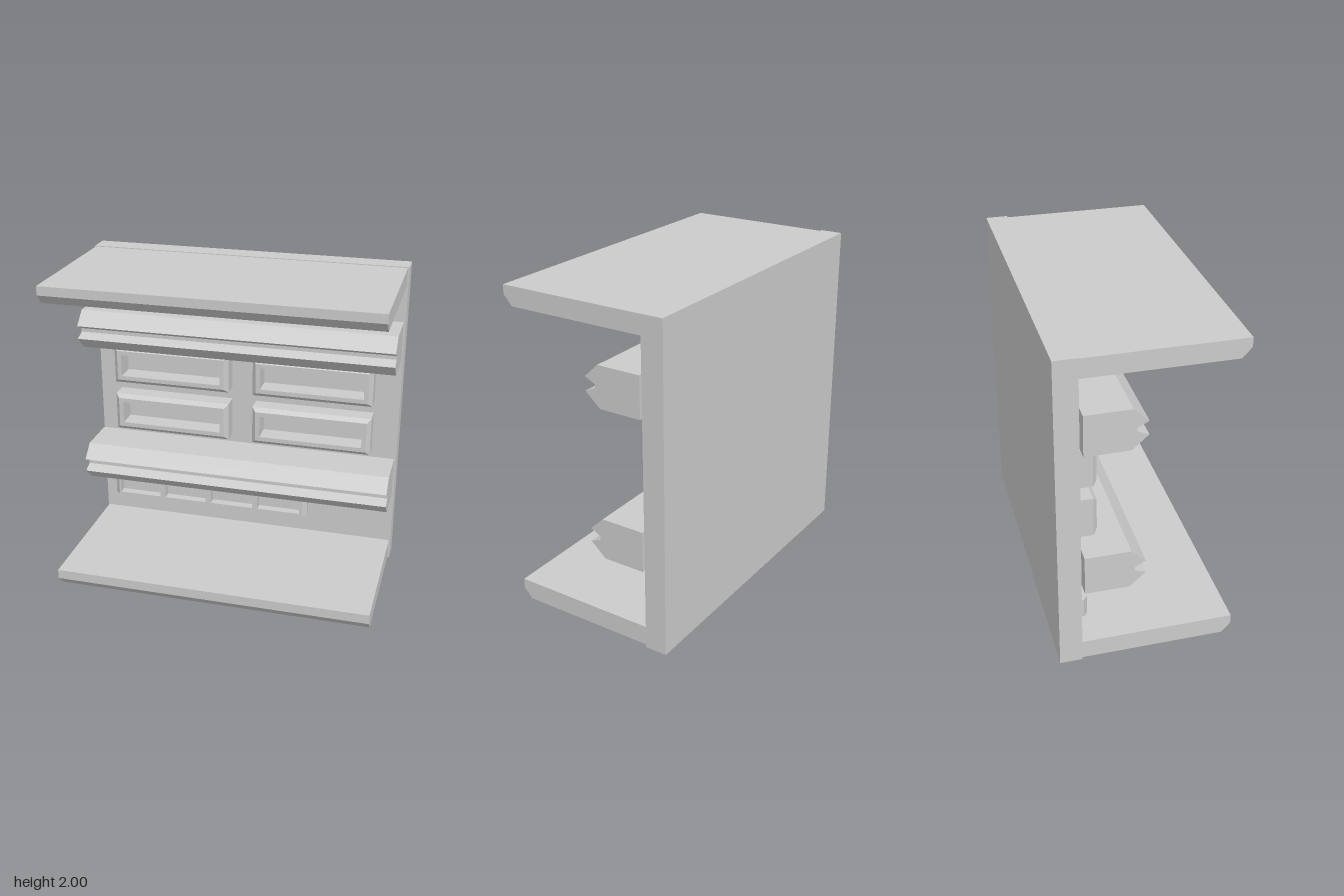
import * as THREE from 'three';

const material = new THREE.MeshStandardMaterial({ color: 0xcccccc, flatShading: true });
const WALL = -0.39; // front plane of the back panel

function add(group, name, geometry) {
  const mesh = new THREE.Mesh(geometry, material);
  mesh.name = name;
  group.add(mesh);
  return mesh;
}

function box(x0, x1, y0, y1, z0, z1) {
  return new THREE.BoxGeometry(x1 - x0, y1 - y0, z1 - z0)
    .translate((x0 + x1) / 2, (y0 + y1) / 2, (z0 + z1) / 2);
}

const toShape = (pts) => new THREE.Shape(pts.map(([a, b]) => new THREE.Vector2(a, b)));
const rect = (x0, x1, y0, y1) => [[x0, y0], [x1, y0], [x1, y1], [x0, y1]];

// Extrudes a (z, y) side profile along x
function alongX(profile, x0, x1) {
  return new THREE.ExtrudeGeometry(toShape(profile), { depth: x1 - x0, bevelEnabled: false })
    .rotateY(-Math.PI / 2).translate(x1, 0, 0);
}

// Joins successive rectangular loops [x0, x1, y0, y1, z] with flat quads
function loftRects(loops) {
  const rings = loops.map(([x0, x1, y0, y1, z]) => rect(x0, x1, y0, y1).map(([x, y]) => [x, y, z]));
  const pos = [];
  for (let i = 0; i < rings.length - 1; i++) {
    for (let j = 0; j < 4; j++) {
      const k = (j + 1) % 4;
      const a = rings[i][j], b = rings[i][k], c = rings[i + 1][k], d = rings[i + 1][j];
      pos.push(...a, ...b, ...c, ...a, ...c, ...d);
    }
  }
  const g = new THREE.BufferGeometry();
  g.setAttribute('position', new THREE.Float32BufferAttribute(pos, 3));
  g.computeVertexNormals();
  return g;
}

export function createModel() {
  const model = new THREE.Group();
  model.name = 'wallSection';

  add(model, 'backPanel', box(-1, 1, 0, 2, -0.525, WALL));

  // Ceiling and floor slabs, chamfered along the lower front edge
  for (const [name, y0, y1] of [['floorSlab', 0.01, 0.13], ['ceilingSlab', 1.88, 1.995]]) {
    add(model, name, alongX(
      [[WALL, y0], [0.47, y0], [0.525, y0 + 0.06], [0.525, y1], [WALL, y1]], -0.995, 0.99));
  }

  // Horizontal rails with a notched nose, standing just off the panel
  const railProfile = [[-0.37, 0], [-0.11, 0], [-0.015, 0.085], [-0.08, 0.112],
    [-0.08, 0.135], [-0.015, 0.168], [-0.1, 0.25], [-0.37, 0.25]];
  for (const [name, y] of [['lowerRail', 0.49], ['upperRail', 1.413]]) {
    add(model, name, alongX(railProfile.map(([z, h]) => [z, h + y]), -0.995, 0.99));
  }

  // Four open frames with a bevelled outer edge
  for (const x of [-0.86, 0.07]) {
    for (const y of [0.79, 1.122]) {
      const inset = (d, e, z) => [x + d, x + 0.77 - d, y + e, y + 0.25 - e, z];
      add(model, 'wallFrame', loftRects([
        inset(0, 0, WALL), inset(0, 0, -0.285), inset(0.025, 0.025, -0.26),
        inset(0.053, 0.053, -0.26), inset(0.053, 0.053, WALL),
      ]));
    }
  }

  // Low strip with four windows and chamfered ends
  const strip = new THREE.Group();
  strip.name = 'lowerStrip';
  model.add(strip);
  const face = toShape(rect(-0.89, 0.405, 0.255, 0.38));
  for (let i = 0; i < 4; i++) {
    const x = -0.878 + i * 0.325;
    face.holes.push(toShape(rect(x, x + 0.288, 0.272, 0.363)));
  }
  add(strip, 'stripFace', new THREE.ExtrudeGeometry(face, { depth: 0.055, bevelEnabled: false })
    .translate(0, 0, WALL));
  const endProfile = [[0, 0], [0.03, 0], [0.03, 0.03], [0, 0.055]];
  for (const [x, s] of [[0.405, 1], [-0.89, -1]]) {
    const pts = endProfile.map(([a, z]) => [x + s * a, -(WALL + z)]);
    add(strip, 'stripEnd', new THREE.ExtrudeGeometry(toShape(pts), { depth: 0.125, bevelEnabled: false })
      .rotateX(-Math.PI / 2).translate(0, 0.255, 0));
  }

  // Plain bar near the ceiling
  add(model, 'upperBar', box(-0.455, 0.43, 1.73, 1.825, WALL, -0.32));

  return model;
}
